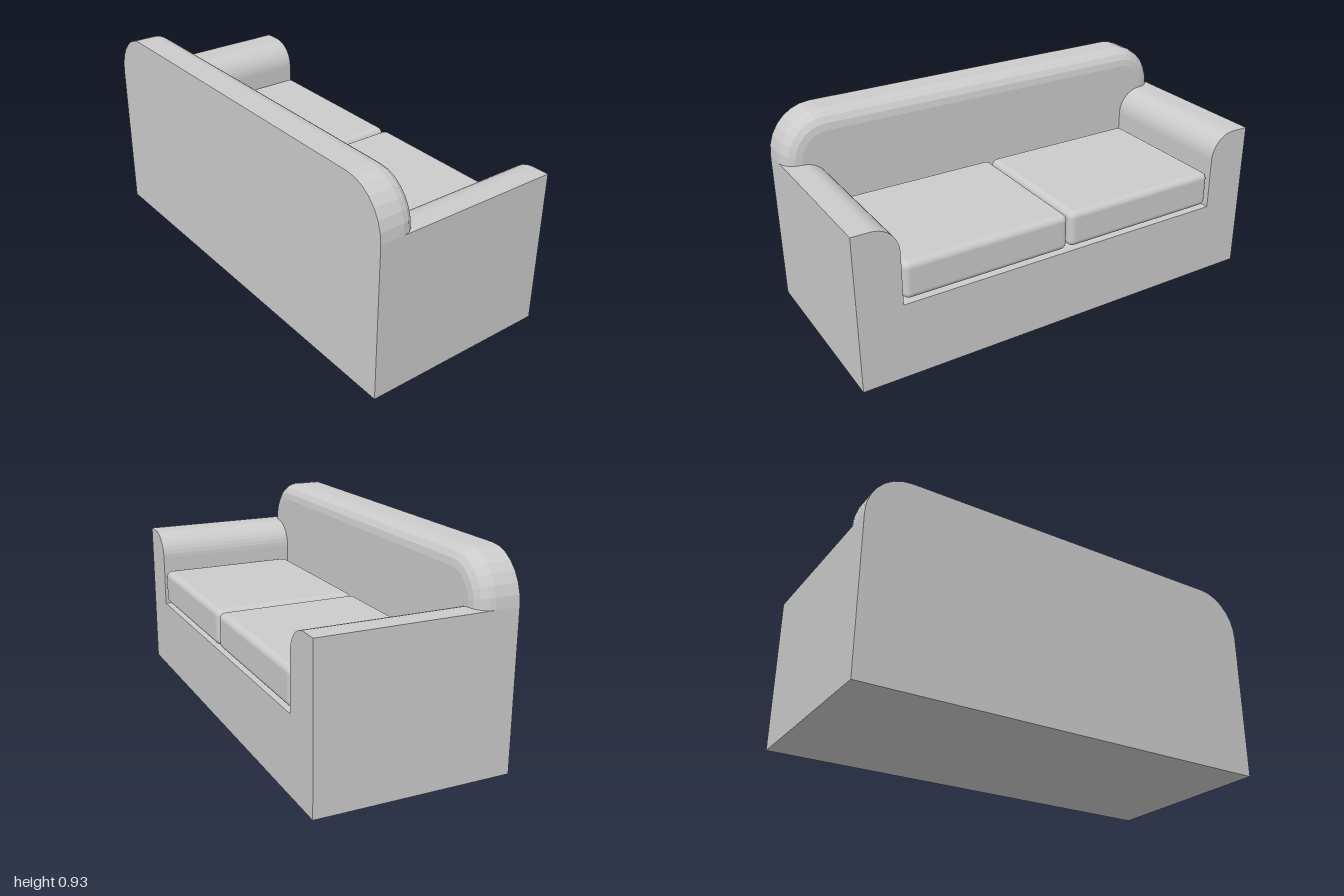
import * as THREE from 'three';
import { RoundedBoxGeometry } from 'three/addons/geometries/RoundedBoxGeometry.js';

const flat = new THREE.MeshStandardMaterial({ color: 0xcccccc, flatShading: true });
const smooth = new THREE.MeshStandardMaterial({ color: 0xcccccc });

const BACK_X = -0.445, FRONT_X = 0.44, PANEL_X = -0.26;
const BEVEL_X = -0.333, INSET = 0.08;
const ARM_TOP = 0.715, SEAT_Y = 0.35, TOP = 0.93;

function add(group, name, geometry, material) {
  const mesh = new THREE.Mesh(geometry, material);
  mesh.name = name;
  group.add(mesh);
  return mesh;
}

// Backrest outline, shrunk by d on every side, counterclockwise
function backOutline(d) {
  const pts = [[-(1 - d), d], [1 - d, d]];
  const arc = 7;
  for (const side of [0, 1]) {
    for (let i = 0; i <= arc; i++) {
      const a = (side + i / arc) * Math.PI / 2;
      const cx = side ? -0.8 : 0.8;
      pts.push([cx + (0.2 - d) * Math.cos(a), ARM_TOP + (TOP - ARM_TOP - d) * Math.sin(a)]);
    }
  }
  return pts;
}

// Backrest lofted from rear to front, with a rounded front edge
function backGeometry() {
  const layers = [[BACK_X, 0]];
  for (let i = 0; i <= 4; i++) {
    const a = i / 4 * Math.PI / 2;
    layers.push([BEVEL_X + (PANEL_X - BEVEL_X) * Math.sin(a), INSET * (1 - Math.cos(a))]);
  }
  const pos = [], idx = [];
  const n = backOutline(0).length;
  for (const [x, d] of layers) for (const [u, y] of backOutline(d)) pos.push(u, y, x);
  for (let i = 0; i < layers.length - 1; i++) {
    for (let j = 0; j < n; j++) {
      const a = i * n + j, b = i * n + (j + 1) % n;
      idx.push(a, b, b + n, a, b + n, a + n);
    }
  }
  const last = (layers.length - 1) * n;
  for (let j = 1; j < n - 1; j++) {
    idx.push(0, j + 1, j);
    idx.push(last, last + j, last + j + 1);
  }
  const g = new THREE.BufferGeometry();
  g.setAttribute('position', new THREE.Float32BufferAttribute(pos, 3));
  g.setIndex(idx);
  g.computeVertexNormals();
  return g.rotateY(Math.PI / 2);
}

// Base and both arms as one profile, extruded from the backrest to the front
function frameGeometry() {
  const s = new THREE.Shape();
  s.moveTo(-1, 0);
  s.lineTo(1, 0);
  s.lineTo(1, ARM_TOP);
  s.lineTo(0.92, ARM_TOP);
  s.absellipse(0.92, 0.595, 0.12, 0.12, Math.PI / 2, Math.PI, false);
  s.lineTo(0.8, SEAT_Y);
  s.lineTo(-0.8, SEAT_Y);
  s.lineTo(-0.8, 0.595);
  s.absellipse(-0.92, 0.595, 0.12, 0.12, 0, Math.PI / 2, false);
  s.lineTo(-1, ARM_TOP);
  const g = new THREE.ExtrudeGeometry(s, { depth: FRONT_X - BEVEL_X, bevelEnabled: false, curveSegments: 5 });
  return g.translate(0, 0, BEVEL_X).rotateY(Math.PI / 2);
}

export function createModel() {
  const sofa = new THREE.Group();
  sofa.name = 'sofa';

  add(sofa, 'baseAndArms', frameGeometry(), flat);
  add(sofa, 'backrest', backGeometry(), flat);

  // Two seat cushions
  const cushion = new RoundedBoxGeometry(0.683, 0.17, 0.786, 4, 0.03);
  for (const side of [-1, 1]) {
    const name = side > 0 ? 'leftSeatCushion' : 'rightSeatCushion';
    add(sofa, name, cushion, smooth).position.set(0.0965, 0.445, side * 0.398);
  }
  return sofa;
}
